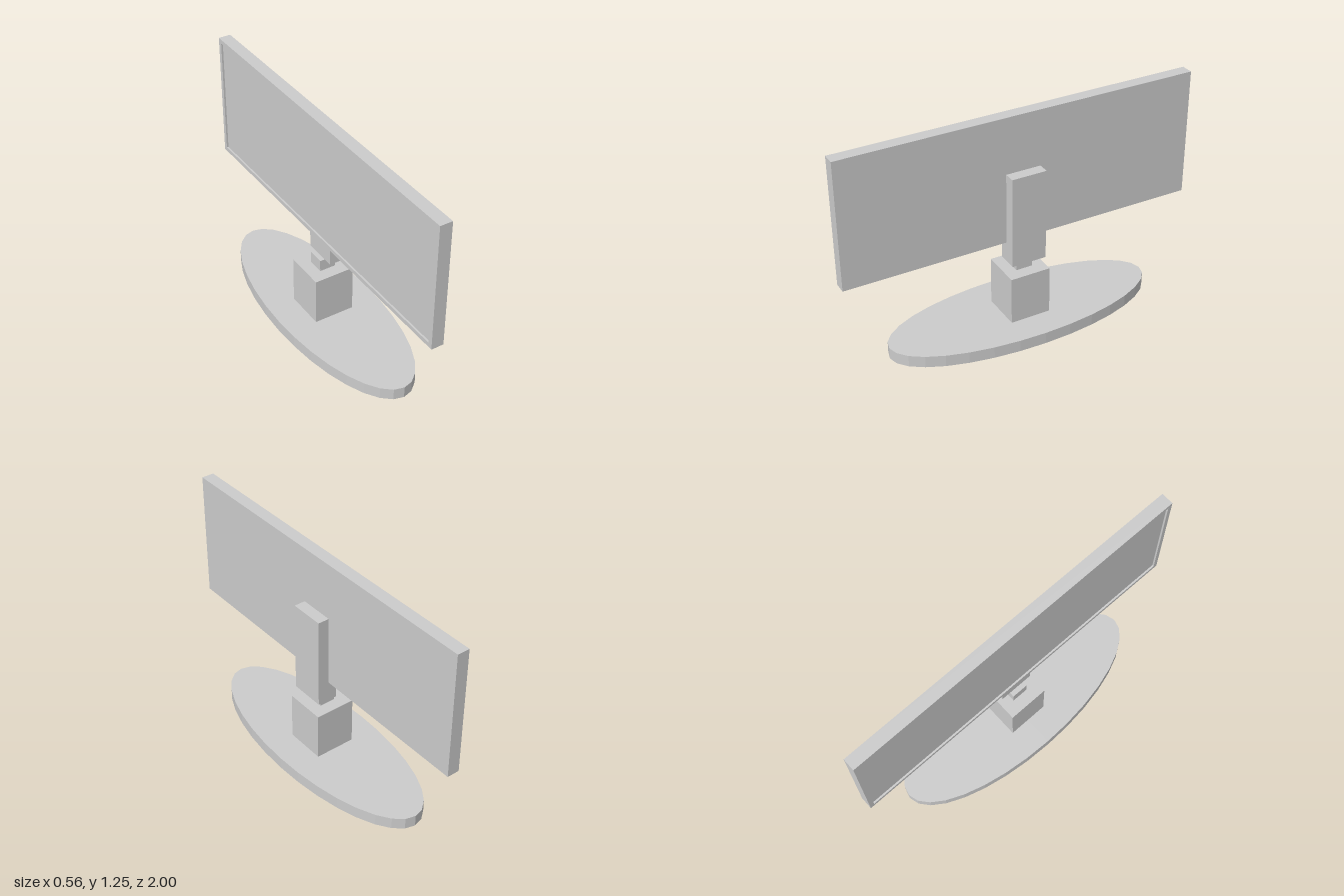
import * as THREE from 'three';

const material = new THREE.MeshStandardMaterial({ color: 0xcccccc, flatShading: true });

// Box given by its extents along each axis
function box(name, [x0, x1], [y0, y1], [z0, z1]) {
  const mesh = new THREE.Mesh(new THREE.BoxGeometry(x1 - x0, y1 - y0, z1 - z0), material);
  mesh.position.set((x0 + x1) / 2, (y0 + y1) / 2, (z0 + z1) / 2);
  mesh.name = name;
  return mesh;
}

// Rectangle centred on the origin, as a shape or a hole
function rectangle(target, w, h) {
  return target.moveTo(-w / 2, -h / 2).lineTo(w / 2, -h / 2)
    .lineTo(w / 2, h / 2).lineTo(-w / 2, h / 2).closePath();
}

export function createModel() {
  const model = new THREE.Group();
  model.name = 'monitor';

  // Oval foot plate
  const base = new THREE.Mesh(new THREE.CylinderGeometry(1, 1, 0.066, 32), material);
  base.scale.set(0.279, 1, 0.767);
  base.position.y = 0.05;
  base.name = 'base';
  model.add(base);

  // Stand: block through the foot plate, short neck, upright behind the display
  model.add(
    box('standBlock', [-0.114, 0.114], [0, 0.354], [-0.114, 0.114]),
    box('neck', [-0.045, 0.045], [0.354, 0.42], [-0.046, 0.046]),
    box('upright', [-0.017, 0.097], [0.42, 0.933], [-0.098, 0.098]),
  );

  // Display: a shallow bezel around a recessed screen facing -x
  const bottom = 0.535, top = 1.247, back = 0.034, front = -0.035;
  const margin = 0.024, recess = 0.01;
  const height = top - bottom;
  const display = new THREE.Group();
  display.name = 'display';
  display.add(box('screenBody', [front + recess, back], [bottom, top], [-1, 1]));

  const frame = rectangle(new THREE.Shape(), 2, height);
  frame.holes.push(rectangle(new THREE.Path(), 2 - 2 * margin, height - 2 * margin));
  const bezel = new THREE.Mesh(
    new THREE.ExtrudeGeometry(frame, { depth: recess, bevelEnabled: false }), material);
  bezel.rotation.y = -Math.PI / 2;
  bezel.position.set(front + recess, (bottom + top) / 2, 0);
  bezel.name = 'bezel';
  display.add(bezel);
  model.add(display);

  return model;
}
